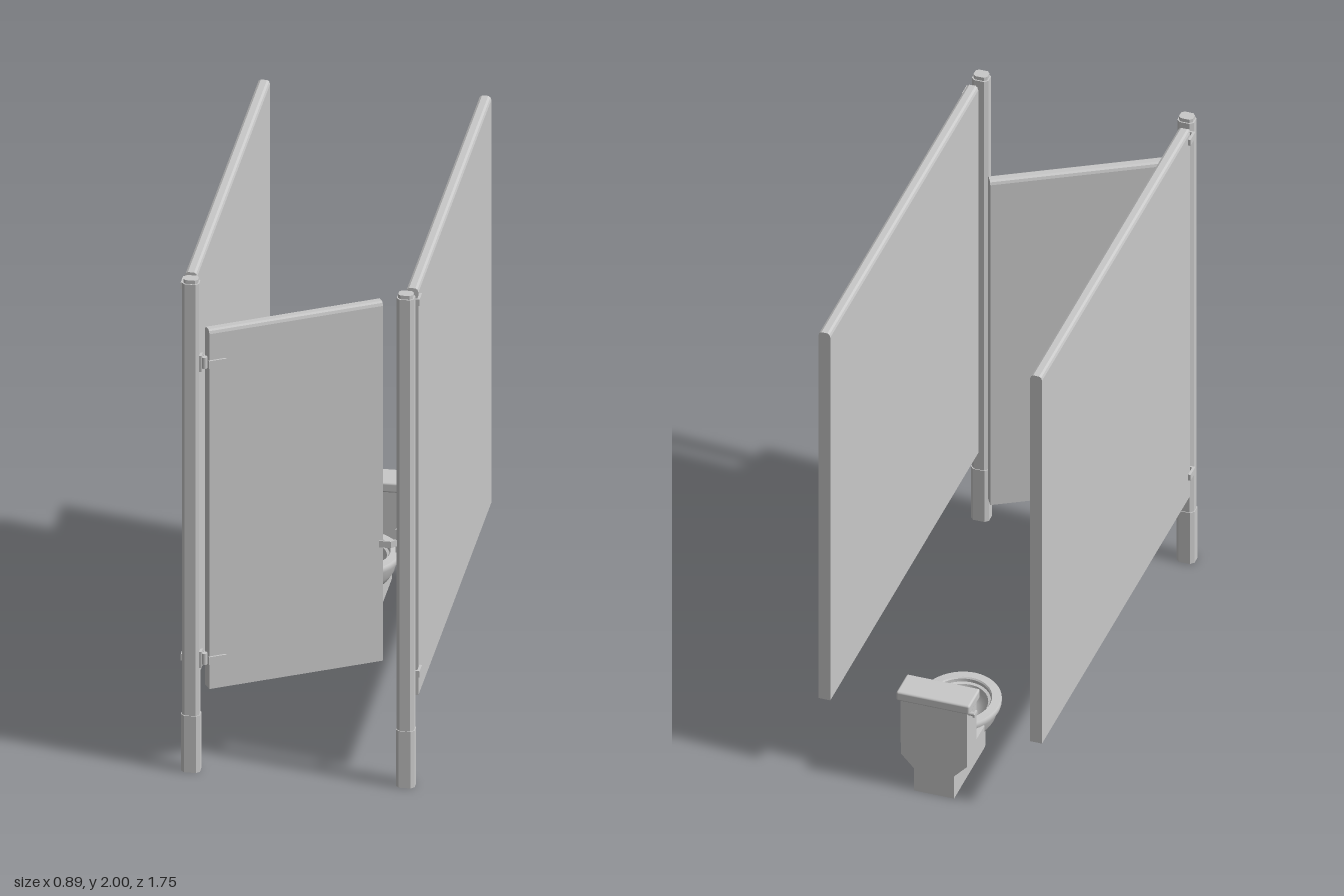
import * as THREE from 'three';
import { toCreasedNormals } from 'three/addons/utils/BufferGeometryUtils.js';
import { ConvexGeometry } from 'three/addons/geometries/ConvexGeometry.js';
import { RoundedBoxGeometry } from 'three/addons/geometries/RoundedBoxGeometry.js';

const grey = new THREE.MeshStandardMaterial({ color: 0xc8c8c8 });
grey.name = 'lightGrey';

function add(parent, name, geometry, x = 0, y = 0, z = 0) {
  const mesh = new THREE.Mesh(geometry, grey);
  mesh.name = name;
  mesh.position.set(x, y, z);
  parent.add(mesh);
  return mesh;
}

const box = (w, h, d) => new THREE.BoxGeometry(w, h, d);

// Extrudes an outline along z, centred
function prism(points, depth, crease = 0.5) {
  const shape = new THREE.Shape(points.map(p => new THREE.Vector2(...p)));
  const g = new THREE.ExtrudeGeometry(shape, { depth, bevelEnabled: false });
  g.translate(0, 0, -depth / 2);
  return toCreasedNormals(g, crease);
}

// Upright board with a softened top cap; thickness in x, length in z
function board(t, h, length) {
  const a = t / 2;
  return prism([[-a, 0], [a, 0], [a, h - 0.016], [a * 0.85, h - 0.005], [a * 0.5, h],
    [-a * 0.5, h], [-a * 0.85, h - 0.005], [-a, h - 0.016]], length, 0.2);
}

// Outline with cut corners, extruded upwards
function column(w, d, c, h) {
  const x = w / 2, z = d / 2;
  const g = prism([[-x + c, -z], [x - c, -z], [x, -z + c], [x, z - c],
    [x - c, z], [-x + c, z], [-x, z - c], [-x, -z + c]], h, 0.2);
  return g.rotateX(-Math.PI / 2).translate(0, h / 2, 0);
}

// Side wall with its post and wall brackets
function buildSide(s) {
  const side = new THREE.Group();
  side.name = s > 0 ? 'leftSide' : 'rightSide';
  add(side, 'partition', board(0.046, 1.655, 1.645), s * 0.411, 0.335, -0.05);
  add(side, 'post', column(0.064, 0.054, 0.012, 1.985), s * 0.399, 0, 0.839);
  add(side, 'postCap', column(0.054, 0.044, 0.01, 0.015), s * 0.399, 1.985, 0.839);
  add(side, 'postSleeve', column(0.07, 0.06, 0.013, 0.23), s * 0.399, 0, 0.839);
  for (const y of [0.435, 1.948]) {
    add(side, 'bracketPlate', box(0.01, 0.026, 0.05), s * 0.439, y, 0.774);
    add(side, 'bracketArm', box(0.03, 0.026, 0.008), s * 0.429, y, 0.8);
    add(side, 'bracketFoot', box(0.01, 0.026, 0.02), s * 0.415, y, 0.806);
  }
  return side;
}

// Half-open door hung on the right post
function buildDoor() {
  const door = new THREE.Group();
  door.name = 'door';
  const leaf = add(door, 'doorLeaf', board(0.045, 1.46, 0.68), -0.046, 0.338, 0.663);
  leaf.rotation.y = -Math.PI / 3;
  for (const y of [0.455, 1.66]) {
    add(door, 'hingePlate', box(0.01, 0.065, 0.03), -0.363, y, 0.839);
    add(door, 'hingePin', new THREE.CylinderGeometry(0.011, 0.011, 0.045, 16), -0.35, y, 0.838);
    for (const [name, off] of [['hingeFrontStrap', 0.026], ['hingeBackStrap', -0.026]]) {
      const strap = new THREE.Group();
      strap.name = name;
      strap.position.set(-0.318 + off * 0.5, y, 0.82 + off * 0.866);
      strap.rotation.y = Math.PI / 6;
      add(strap, 'strap', box(0.06, 0.032, 0.008));
      add(strap, 'strapEnd', new THREE.CylinderGeometry(0.016, 0.016, 0.008, 20).rotateX(Math.PI / 2), 0.03);
      door.add(strap);
    }
  }
  return door;
}

// Bent metal stop on the left post
function buildLatch() {
  const latch = new THREE.Group();
  latch.name = 'latchStop';
  const strip = prism([[0.305, 0.868], [0.346, 0.868], [0.362, 0.85], [0.366, 0.83],
    [0.371, 0.83], [0.368, 0.854], [0.349, 0.874], [0.305, 0.874]], 0.026);
  add(latch, 'latchStrip', strip.rotateX(Math.PI / 2), 0, 0.988, 0);
  add(latch, 'latchPlate', box(0.006, 0.09, 0.03), 0.365, 0.995, 0.839);
  return latch;
}

function buildToilet() {
  const toilet = new THREE.Group();
  toilet.name = 'toilet';
  toilet.position.x = -0.012;

  // Pedestal with a round front
  const foot = new THREE.Shape();
  foot.moveTo(-0.078, 0.865);
  foot.lineTo(-0.078, 0.53);
  foot.absellipse(0, 0.53, 0.078, 0.08, Math.PI, Math.PI * 2, false);
  foot.lineTo(0.078, 0.865);
  foot.closePath();
  const pedestal = new THREE.ExtrudeGeometry(foot, { depth: 0.13, bevelEnabled: false, curveSegments: 20 });
  add(toilet, 'pedestal', toCreasedNormals(pedestal.rotateX(-Math.PI / 2), 0.6));

  // Flared body under the tank
  const rings = [[0.1, 0.078, -0.69], [0.155, 0.129, -0.68], [0.21, 0.129, -0.67]];
  const corners = [];
  for (const [y, x, front] of rings)
    for (const s of [-1, 1])
      for (const z of [front, -0.865]) corners.push(new THREE.Vector3(s * x, y, z));
  add(toilet, 'flaredBody', new ConvexGeometry(corners));

  // Oval bowl with rim and hollow
  const profile = [[0, 0.1], [0.06, 0.105], [0.088, 0.118], [0.115, 0.143], [0.133, 0.172], [0.143, 0.212],
    [0.151, 0.215], [0.153, 0.222], [0.153, 0.235], [0.149, 0.241], [0.118, 0.243], [0.114, 0.238],
    [0.114, 0.225], [0.104, 0.222], [0.1, 0.2], [0.085, 0.17], [0.055, 0.147], [0, 0.14]]
    .map(p => new THREE.Vector2(...p));
  const bowl = add(toilet, 'bowl', toCreasedNormals(new THREE.LatheGeometry(profile, 48), 0.6), 0, 0, -0.583);
  bowl.scale.z = 1.16;

  add(toilet, 'tank', box(0.258, 0.2, 0.105), 0, 0.305, -0.8145);
  add(toilet, 'tankLid', new RoundedBoxGeometry(0.285, 0.04, 0.122, 3, 0.008), 0, 0.42, -0.819);
  const pivot = new THREE.CylinderGeometry(0.008, 0.008, 0.022, 16).rotateZ(Math.PI / 2);
  add(toilet, 'flushPivot', pivot, -0.139, 0.383, -0.843);
  add(toilet, 'flushLever', box(0.008, 0.014, 0.03), -0.15, 0.381, -0.838);
  return toilet;
}

export function createModel() {
  const model = new THREE.Group();
  model.name = 'toiletStall';
  model.add(buildSide(-1), buildSide(1), buildDoor(), buildLatch(), buildToilet());
  return model;
}
